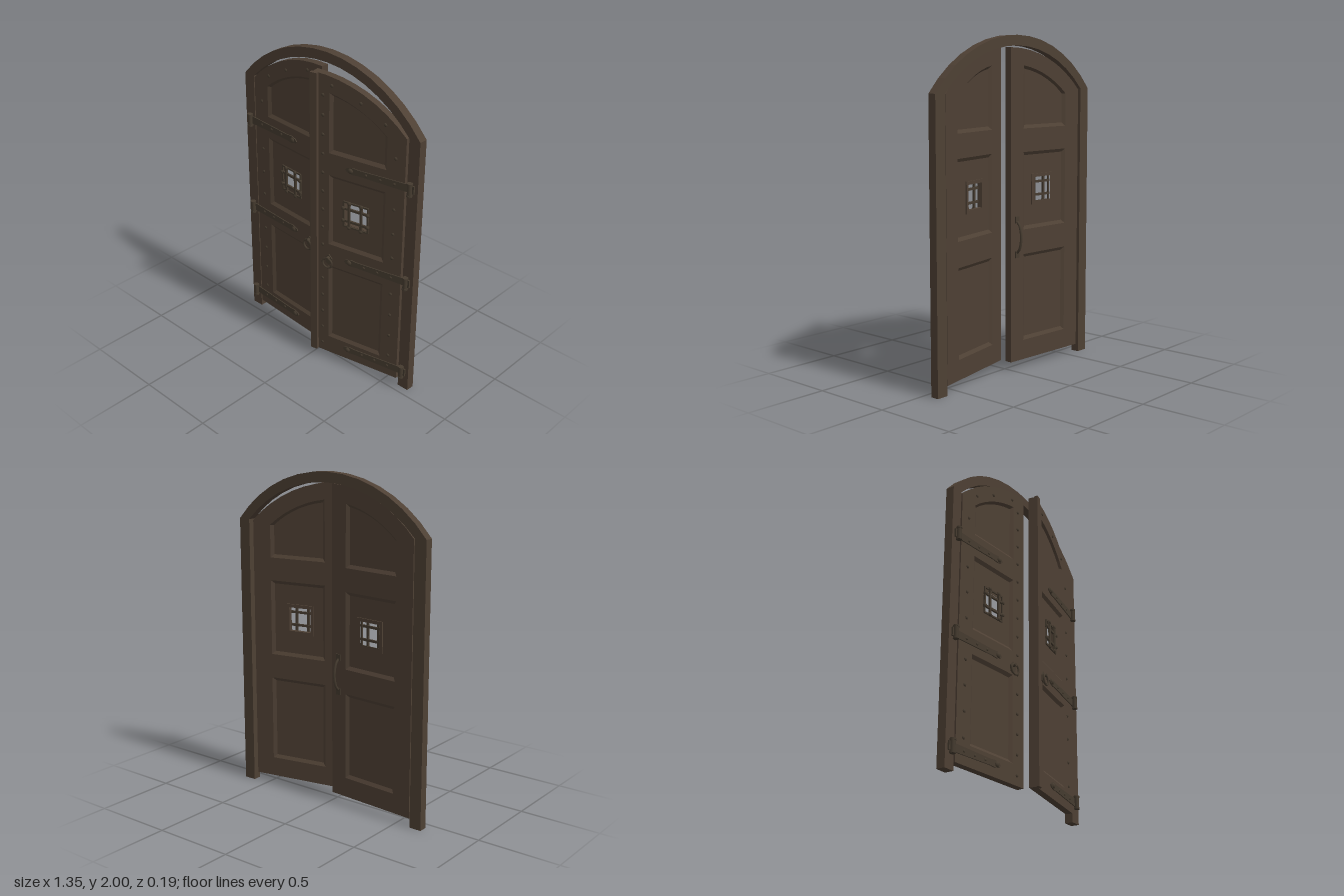
import * as THREE from 'three';

const wood = new THREE.MeshStandardMaterial({ color: 0x4e4034 });
wood.name = 'dark wood';
const iron = new THREE.MeshStandardMaterial({ color: 0x453b2f });
iron.name = 'wrought iron';

const PIVOT_X = 0.63, PIVOT_Z = -0.033;      // hinge axis
const FRONT = -0.015, BACK = -0.06;          // leaf faces, relative to the hinge axis
const RECESS = 0.014, ARCH_Y = 1.115;        // panel depth, centre height of the leaf arcs
const HINGES = [0.125, 0.77, 1.385];

function add(parent, name, geometry, material, x = 0, y = 0, z = 0) {
  const mesh = new THREE.Mesh(geometry, material);
  mesh.name = name;
  mesh.position.set(x, y, z);
  parent.add(mesh);
  return mesh;
}

const shapeOf = (pts) => new THREE.Shape(pts.map(([x, y]) => new THREE.Vector2(x, y)));
const extrude = (shape, depth) => new THREE.ExtrudeGeometry(shape, { depth, bevelEnabled: false });

// Points on a circle around (0, cy) between two x values
function arc(cy, r, x0, x1, n) {
  const a0 = Math.acos(x0 / r), a1 = Math.acos(x1 / r);
  return Array.from({ length: n + 1 }, (_, i) => {
    const a = a0 + (a1 - a0) * i / n;
    return [r * Math.cos(a), cy + r * Math.sin(a)];
  });
}

const rect = (u0, u1, y0, y1) => [[u0, y0], [u1, y0], [u1, y1], [u0, y1]];

// Shrink an outline towards its centre by a fixed border
function inset(pts, d) {
  const box = new THREE.Box2().setFromPoints(pts.map(([x, y]) => new THREE.Vector2(x, y)));
  const c = box.getCenter(new THREE.Vector2()), s = box.getSize(new THREE.Vector2());
  return pts.map(([x, y]) => [c.x + (x - c.x) * (1 - 2 * d / s.x), c.y + (y - c.y) * (1 - 2 * d / s.y)]);
}

// Sloped moulding between two matching outlines
function slope(outer, inner, z0, z1, flip) {
  const pos = [];
  outer.forEach((a, i) => {
    const j = (i + 1) % outer.length;
    const A = [...a, z0], B = [...outer[j], z0], C = [...inner[j], z1], D = [...inner[i], z1];
    pos.push(...(flip ? [A, C, B, A, D, C] : [A, B, C, A, C, D]).flat());
  });
  const g = new THREE.BufferGeometry();
  g.setAttribute('position', new THREE.Float32BufferAttribute(pos, 3));
  g.computeVertexNormals();
  return g;
}

function nailGeometry(r) {
  return new THREE.SphereGeometry(r, 8, 3, 0, Math.PI * 2, 0, Math.PI / 2).rotateX(Math.PI / 2).scale(1, 1, 0.6);
}

function makeLeaf(side, angle) {
  const leaf = new THREE.Group();
  leaf.name = side > 0 ? 'leftLeaf' : 'rightLeaf';
  leaf.position.set(side * PIVOT_X, 0, PIVOT_Z);
  leaf.rotation.y = side * angle;
  const X = (u) => side * (u - PIVOT_X);      // u runs from the meeting edge to the hinge
  const place = (pts) => pts.map(([u, y]) => [X(u), y]);

  // Stiles and rails with three openings
  const openings = [
    rect(0.105, 0.475, 0.17, 0.70),
    rect(0.105, 0.475, 0.85, 1.315),
    [[0.105, 1.455], [0.475, 1.455], ...arc(ARCH_Y, 0.718, 0.475, 0.105, 7)],
  ];
  const body = shapeOf(place([[0, 0.05], [0.592, 0.05], ...arc(ARCH_Y, 0.815, 0.592, 0, 8)]));
  openings.forEach((o) => body.holes.push(shapeOf(place(o))));
  add(leaf, 'leafFrame', extrude(body, FRONT - BACK), wood, 0, 0, BACK);

  // Recessed panels with sloped mouldings on both faces
  const window = rect(0.207, 0.353, 1.012, 1.158);
  openings.forEach((o, i) => {
    const inner = inset(o, 0.02), panel = shapeOf(place(inner));
    if (i === 1) panel.holes.push(shapeOf(place(window)));
    add(leaf, 'panel', extrude(panel, FRONT - BACK - 2 * RECESS), wood, 0, 0, BACK + RECESS);
    add(leaf, 'frontMoulding', slope(place(o), place(inner), FRONT, FRONT - RECESS, side < 0), wood);
    add(leaf, 'backMoulding', slope(place(o), place(inner), BACK, BACK + RECESS, side > 0), wood);
  });

  // Window trim on the back and barred grille on the front
  const trim = shapeOf(place(rect(0.187, 0.373, 0.992, 1.178)));
  trim.holes.push(shapeOf(place(window)));
  add(leaf, 'windowTrim', extrude(trim, 0.008), wood, 0, 0, BACK + RECESS - 0.008);
  const grille = new THREE.Group();
  grille.name = 'grille';
  grille.position.set(X(0.28), 1.085, FRONT - RECESS + 0.007);
  leaf.add(grille);
  for (const d of [-0.04, 0.04]) {
    add(grille, 'uprightBar', new THREE.BoxGeometry(0.014, 0.18, 0.012), iron, d, 0, 0.004);
    add(grille, 'crossBar', new THREE.BoxGeometry(0.18, 0.014, 0.012), iron, 0, d, 0);
    for (const e of [-0.08, 0.08]) {
      add(grille, 'barEnd', nailGeometry(0.013), iron, d, e, 0.006);
      add(grille, 'barEnd', nailGeometry(0.013), iron, e, d, 0.004);
      add(grille, 'grilleFrame', new THREE.BoxGeometry(0.01, 0.165, 0.008), iron, e, 0, -0.003);
      add(grille, 'grilleFrame', new THREE.BoxGeometry(0.165, 0.01, 0.008), iron, 0, e, -0.003);
    }
  }

  // Nails along the stiles and the arch
  const nail = nailGeometry(0.011);
  for (let i = 0; i < 15; i++) add(leaf, 'nail', nail, iron, X(0.063), 0.11 + i * 0.121, FRONT);
  for (const y of [0.2, 0.35, 0.5, 0.65, 0.9, 1.06, 1.22, 1.54])
    add(leaf, 'nail', nail, iron, X(0.53), y, FRONT);
  for (const [u, y] of [[0.12, 1.87], [0.305, 1.81], [0.46, 1.725]])
    add(leaf, 'nail', nail, iron, X(u), y, FRONT);

  // Tapered strap hinges
  const strap = extrude(shapeOf(place([[0.62, -0.024], [0.62, 0.024], [0.3, 0.018],
    [0.26, 0.022], [0.225, 0.012], [0.215, 0], [0.225, -0.012], [0.26, -0.022], [0.3, -0.018]])), 0.006);
  for (const y of HINGES) {
    add(leaf, 'hingeStrap', strap, iron, 0, y, FRONT);
    add(leaf, 'strapRivet', nailGeometry(0.017), iron, X(0.25), y, FRONT + 0.006);
    for (const u of [0.35, 0.44, 0.53]) add(leaf, 'strapNail', nailGeometry(0.009), iron, X(u), y, FRONT + 0.006);
  }

  // Ring handle
  const knocker = new THREE.Group();
  knocker.name = 'ringHandle';
  knocker.position.set(X(0.108), 0.73, FRONT);
  leaf.add(knocker);
  const plate = shapeOf([[0, 0.052], [0.024, 0.025], [0.02, -0.01], [0, -0.022], [-0.02, -0.01], [-0.024, 0.025]]);
  add(knocker, 'handlePlate', extrude(plate, 0.007), iron);
  add(knocker, 'handleBoss', new THREE.CylinderGeometry(0.01, 0.013, 0.024, 8).rotateX(Math.PI / 2), iron, 0, 0.028, 0.014);
  add(knocker, 'ring', new THREE.TorusGeometry(0.032, 0.006, 6, 20), iron, 0, -0.002, 0.02);

  if (side > 0) {
    // Cover strip over the meeting edge
    add(leaf, 'coverStrip', new THREE.BoxGeometry(0.044, 1.88, 0.02), wood, X(0.012), 0.99, FRONT + 0.01);
  } else {
    // Pull handle on the back
    const path = new THREE.CatmullRomCurve3([[0.905, 0], [0.88, -0.022], [0.81, -0.036], [0.74, -0.022], [0.715, 0]]
      .map(([y, z]) => new THREE.Vector3(X(0.05), y, BACK + z)));
    add(leaf, 'pullHandle', new THREE.TubeGeometry(path, 16, 0.008, 6), iron);
    for (const y of [0.915, 0.705])
      add(leaf, 'pullPlate', new THREE.BoxGeometry(0.03, 0.04, 0.006), iron, X(0.05), y, BACK - 0.002);
  }
  return leaf;
}

export function createModel() {
  const model = new THREE.Group();
  model.name = 'archedDoubleDoor';

  // Arched surround, open at the floor
  const surround = shapeOf([[0.675, 0], ...arc(1.128, 0.872, 0.675, -0.675, 14), [-0.675, 0],
    [-0.6, 0], ...arc(1.118, 0.822, -0.6, 0.6, 14), [0.6, 0]]);
  add(model, 'surround', extrude(surround, 0.052), wood, 0, 0, -0.1);

  model.add(makeLeaf(1, 0.192), makeLeaf(-1, 0.065));

  // Hinge pins and their plates on the surround
  for (const side of [-1, 1]) for (const y of HINGES) {
    add(model, 'hingePin', new THREE.CylinderGeometry(0.015, 0.015, 0.075, 8), iron, side * PIVOT_X, y, PIVOT_Z);
    for (const e of [-1, 1])
      add(model, 'pinCap', new THREE.CylinderGeometry(0.018, 0.018, 0.01, 8), iron, side * PIVOT_X, y + e * 0.036, PIVOT_Z);
    add(model, 'hingePlate', new THREE.BoxGeometry(0.032, 0.05, 0.012), iron, side * 0.638, y, -0.044);
  }
  return model;
}
